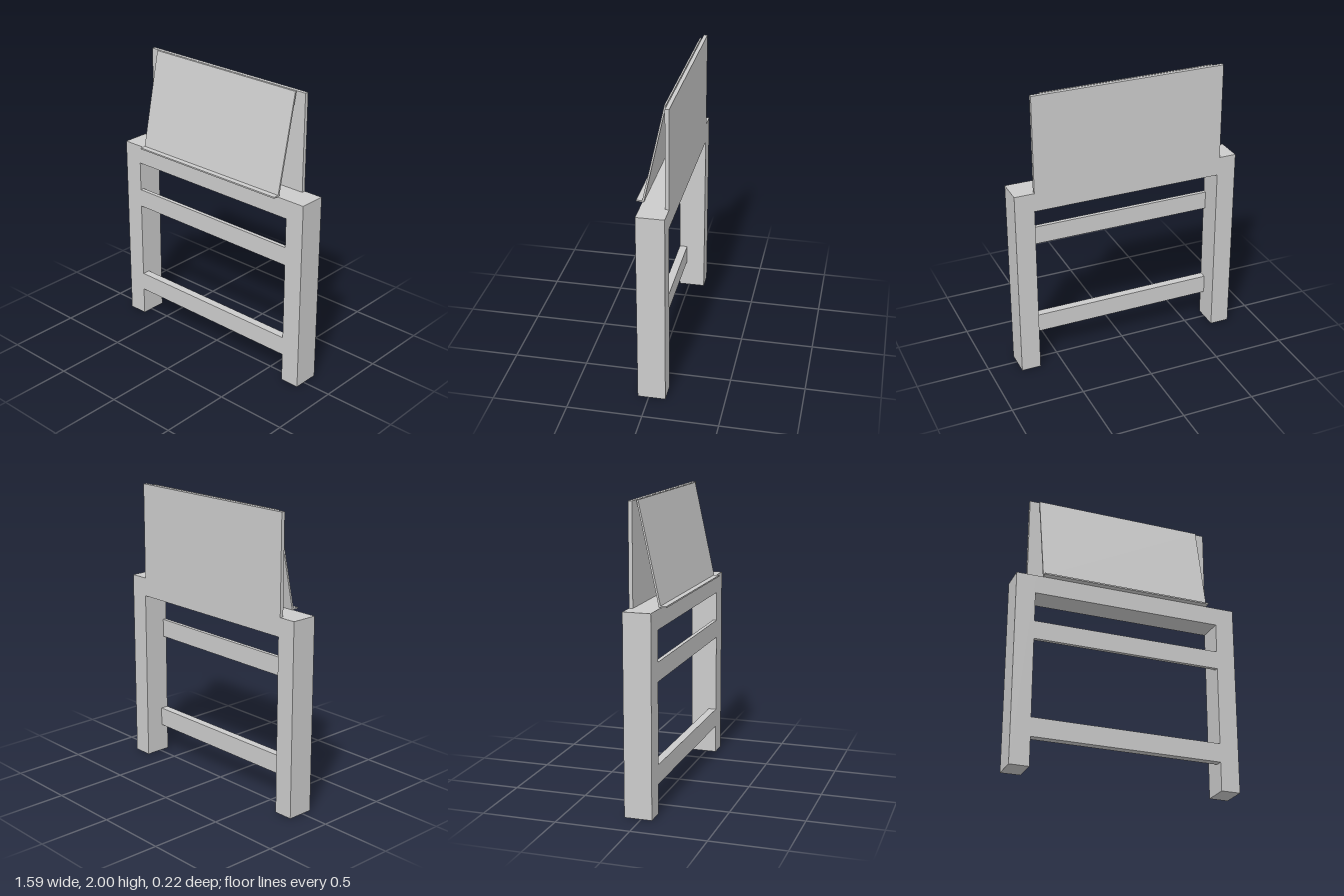
import * as THREE from 'three';

export function createModel() {
  const group = new THREE.Group();
  const material = new THREE.MeshStandardMaterial({ color: 0xcccccc, flatShading: true });

  // Box given by its extents along each axis
  function box(name, [x0, x1], [y0, y1], [z0, z1]) {
    const mesh = new THREE.Mesh(new THREE.BoxGeometry(x1 - x0, y1 - y0, z1 - z0), material);
    mesh.position.set((x0 + x1) / 2, (y0 + y1) / 2, (z0 + z1) / 2);
    mesh.name = name;
    group.add(mesh);
  }

  const back = -0.112, front = 0.073;
  const inner = 0.659, outer = 0.793, frameTop = 1.334;

  // Frame: two legs joined by a full-depth top rail and two thinner rails
  box('leftLeg', [inner, outer], [0, frameTop], [back, front]);
  box('rightLeg', [-outer, -inner], [0, frameTop], [back, front]);
  box('topRail', [-inner, inner], [1.205, frameTop], [back, front]);
  box('middleRail', [-inner, inner], [0.873, 1.0], [front - 0.027, front]);
  box('lowerRail', [-inner, inner], [0.198, 0.328], [front - 0.055, front]);

  // Upright board along the back edge
  box('backBoard', [-0.673, 0.657], [frameTop, 2], [back, -0.086]);

  // Leaning panel with a small ledge, as one side profile (z, y) swept across x
  const left = 0.59, right = -0.608;
  const profile = new THREE.Shape([
    [0.062, 1.336], [0.112, 1.336], [0.112, 1.346], [0.073, 1.346],
    [-0.070, 2.0], [-0.081, 2.0],
  ].map(([z, y]) => new THREE.Vector2(-z, y)));
  const panelGeometry = new THREE.ExtrudeGeometry(profile, { depth: left - right, bevelEnabled: false });
  panelGeometry.rotateY(Math.PI / 2);
  const panel = new THREE.Mesh(panelGeometry, material);
  panel.position.x = right;
  panel.name = 'slantedPanelWithLedge';
  group.add(panel);

  return group;
}
